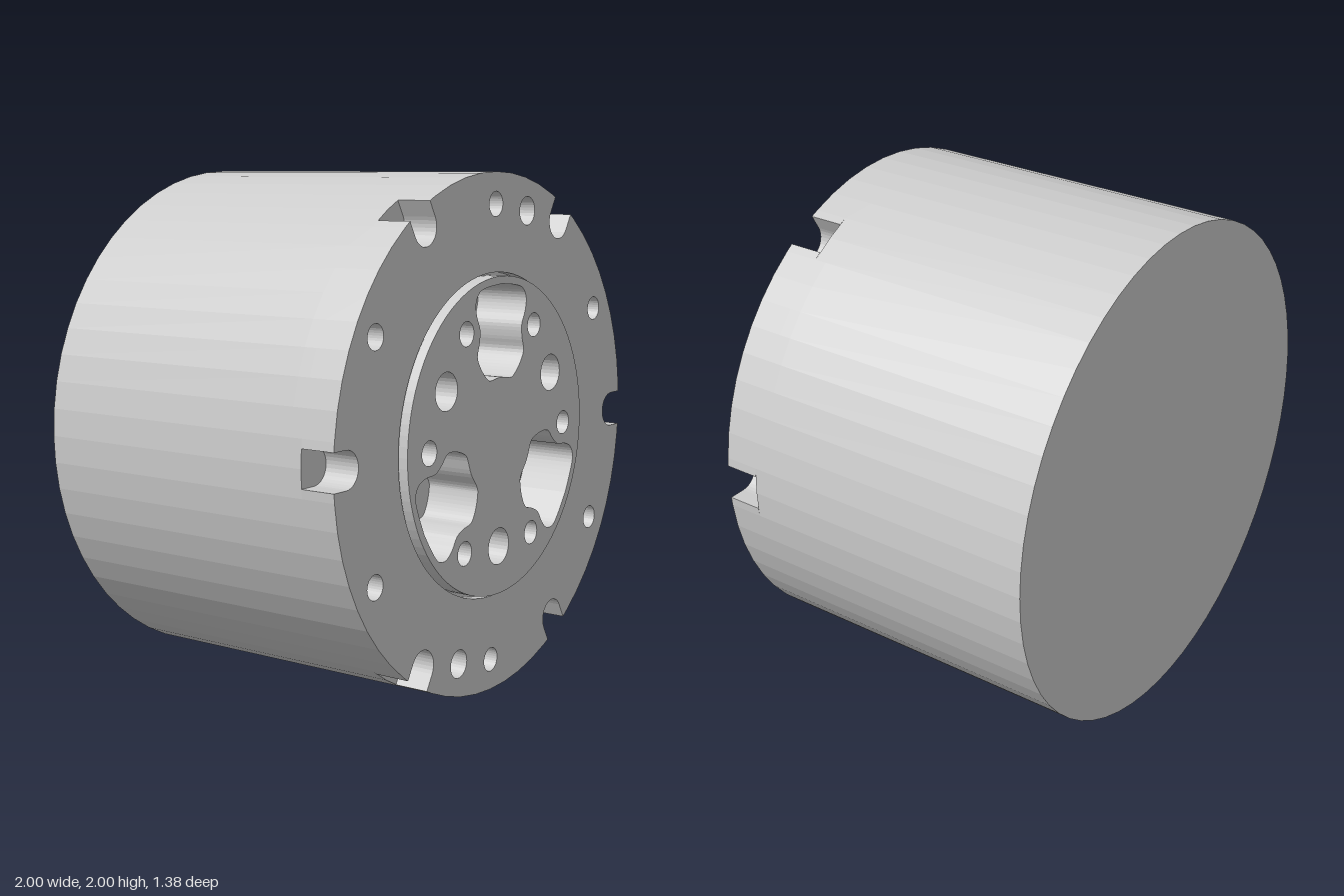
import * as THREE from 'three';

const BACK = -0.69, POCKET = 0.47, SLOT = 0.52, FACE = 0.66, HUB = 0.69;
const SIDES = 60;
const rad = THREE.MathUtils.degToRad;
const V = (x, y) => new THREE.Vector2(x, y);
const polar = (r, deg) => V(r * Math.cos(rad(deg)), r * Math.sin(rad(deg)));

function circle(r, c = V(0, 0), n = SIDES) {
  return Array.from({ length: n }, (_, i) => polar(r, i * 360 / n).add(c));
}

// Round body outline cut by six round-ended slots
function slottedOutline() {
  const pts = [], w = 0.07, inner = 0.93, edge = Math.sqrt(1 - w * w);
  for (let k = 0; k < 6; k++) {
    const slot = [V(edge, -w)];
    for (let i = 0; i <= 16; i++) slot.push(polar(w, 270 - i * 180 / 16).add(V(inner, 0)));
    slot.push(V(edge, w));
    slot.forEach(p => pts.push(p.rotateAround(V(0, 0), rad(k * 60))));
    for (let d = 6; d <= 54; d += 6) pts.push(polar(1, k * 60 + d));
  }
  return pts;
}

// Lobed pocket, mirrored about its radial axis, pointing up before rotation
function pocketOutline(deg) {
  const half = [[0.09, 0.575], [0.15, 0.56], [0.177, 0.52], [0.17, 0.47], [0.147, 0.42],
    [0.15, 0.37], [0.163, 0.32], [0.14, 0.275], [0.1, 0.235], [0.07, 0.222]];
  const pts = [[0, 0.583], ...half, [0, 0.23], ...half.map(([x, y]) => [-x, y]).reverse()];
  return new THREE.SplineCurve([...pts, pts[0]].map(p => V(...p))).getPoints(88).slice(0, -1)
    .map(p => p.rotateAround(V(0, 0), rad(deg - 90)));
}

export function createModel() {
  const model = new THREE.Group();
  const material = new THREE.MeshStandardMaterial({ color: 0xcccccc, flatShading: true });
  const smooth = new THREE.MeshStandardMaterial({ color: 0xcccccc, side: THREE.DoubleSide });

  function add(name, geometry, mat = material) {
    const mesh = new THREE.Mesh(geometry, mat);
    mesh.name = name;
    model.add(mesh);
    return mesh;
  }

  function slab(name, outline, holes, z0, z1) {
    const shape = new THREE.Shape(outline);
    shape.holes = holes.map(h => new THREE.Path(h));
    const geo = new THREE.ExtrudeGeometry(shape, { depth: z1 - z0, bevelEnabled: false });
    return add(name, geo.translate(0, 0, z0));
  }

  // Hole positions
  const six = [0, 60, 120, 180, 240, 300];
  const three = [90, 210, 330];
  const rimDrills = six.map(d => polar(0.88, d + 30));
  const hubDrills = six.map(d => polar(0.475, d));
  const rimPins = [V(0.225, 0.85), V(-0.225, -0.845)].map(c => circle(0.055, c, 32));
  const hubPins = three.map(d => circle(0.072, polar(0.425, d + 180), 32));
  const drill = c => circle(0.047, c, 32);

  // Body: solid rear, plain band, then the slotted front flange
  const bore = circle(0.625, V(0, 0), 96);
  const rimHoles = [bore, ...rimDrills.map(drill), ...rimPins];
  slab('rearBody', circle(1), [], BACK, POCKET);
  slab('bodyBand', circle(1), [bore], POCKET, SLOT);
  slab('frontFlange', slottedOutline(), rimHoles, SLOT, FACE);

  // Raised hub with lobed pockets and holes
  slab('hub', circle(0.612, V(0, 0), 96),
    [...three.map(pocketOutline), ...hubDrills.map(drill), ...hubPins], POCKET, HUB);

  // Floor of the narrow groove around the hub
  const groove = add('grooveFloor', new THREE.RingGeometry(0.612, 0.625, 96), smooth);
  groove.position.z = 0.62;

  // Conical ends of the drilled holes
  const tip = new THREE.ConeGeometry(0.047, 0.03, 32, 1, true).rotateX(-Math.PI / 2);
  [[rimDrills, FACE], [hubDrills, HUB]].forEach(([list, top]) => list.forEach(c => {
    add('drillTip', tip, smooth).position.set(c.x, c.y, top - 0.12);
  }));

  model.position.y = 1;
  const root = new THREE.Group();
  root.name = 'motorHousing';
  root.add(model);
  return root;
}
